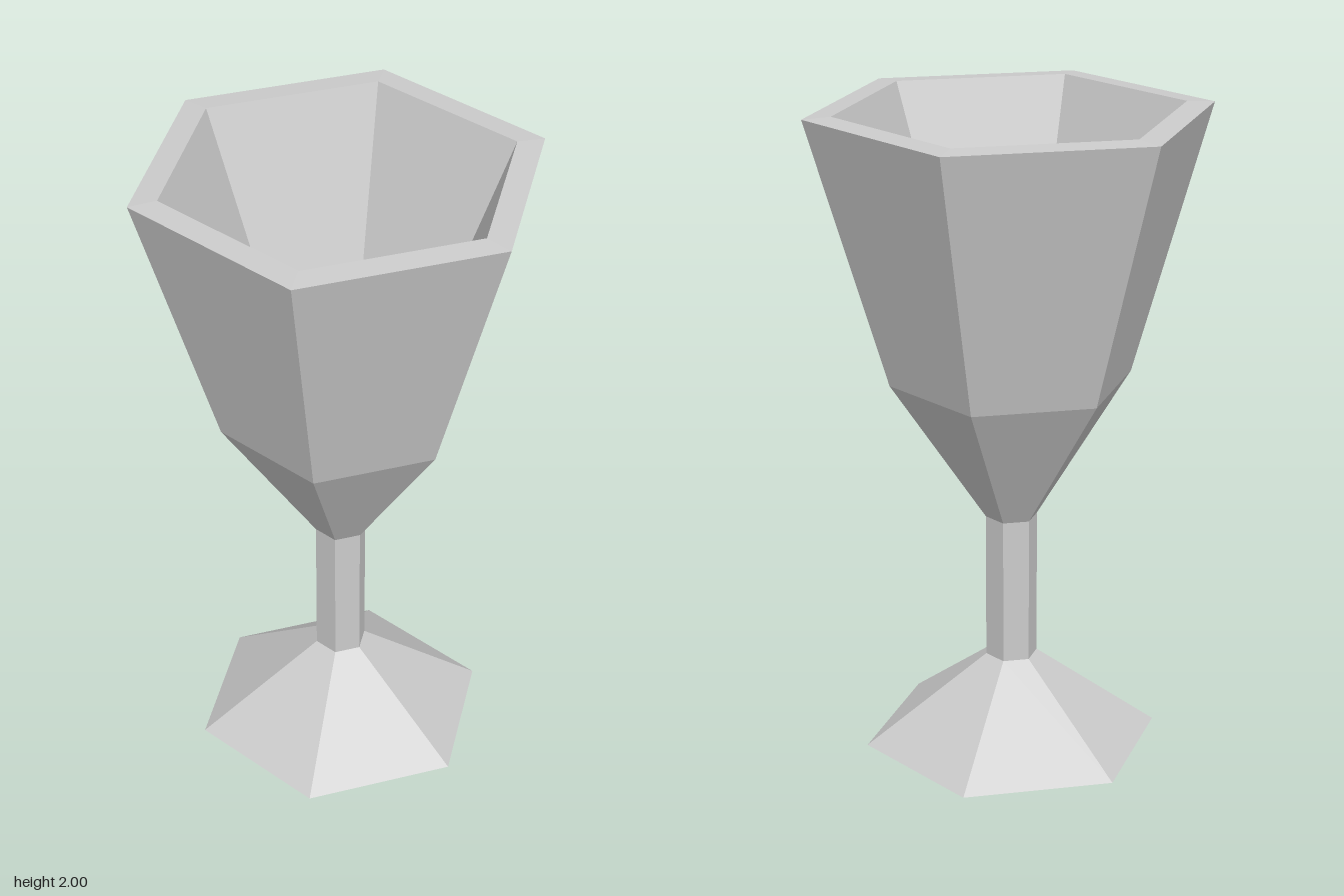
import * as THREE from 'three';

const SIDES = 6;

export function createModel() {
  const goblet = new THREE.Group();
  goblet.name = 'goblet';
  const material = new THREE.MeshStandardMaterial({ color: 0xcccccc, flatShading: true });

  // Six-sided turned part from [radius, height] pairs, with corners on the x axis
  function addTurned(name, profile) {
    const points = profile.map(([r, y]) => new THREE.Vector2(r, y));
    const geometry = new THREE.LatheGeometry(points, SIDES, Math.PI / 2);
    const mesh = new THREE.Mesh(geometry, material);
    mesh.name = name;
    goblet.add(mesh);
  }

  // Foot: flat underside, sloping up to the stem
  addTurned('foot', [[0, 0], [0.46, 0], [0.08, 0.28]]);

  // Stem: straight hexagonal column
  addTurned('stem', [[0.08, 0.28], [0.08, 0.74]]);

  // Bowl: flared outside, rim, then the tapering hollow down to its small floor
  addTurned('bowl', [
    [0.08, 0.74], [0.37, 1.18], [0.61, 1.995],
    [0.525, 2], [0.022, 0.77], [0, 0.77],
  ]);

  return goblet;
}
